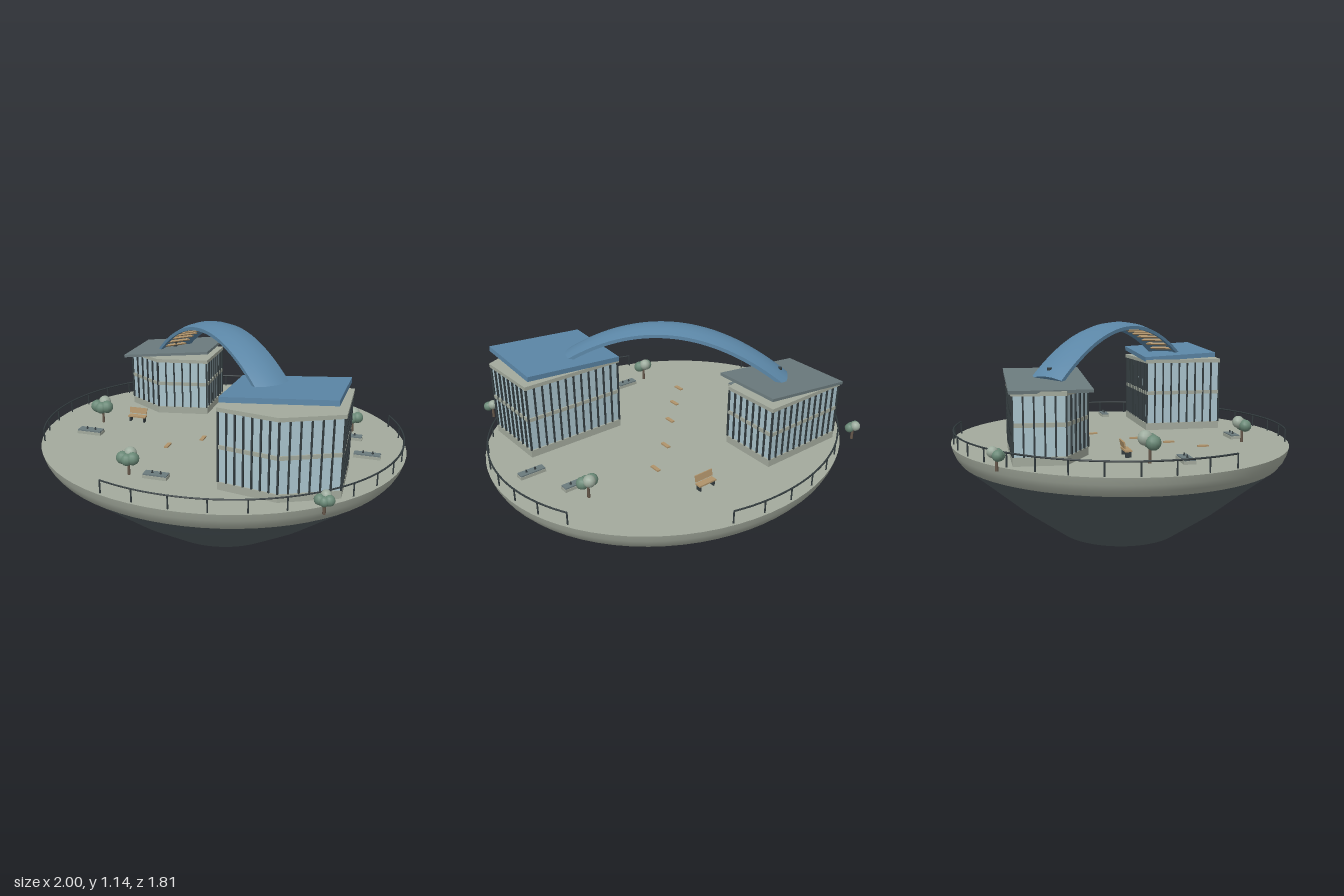
import * as THREE from 'three';
import { toCreasedNormals } from 'three/addons/utils/BufferGeometryUtils.js';

const mat = (name, color, side = THREE.FrontSide) => {
  const m = new THREE.MeshStandardMaterial({ color, side });
  m.name = name;
  return m;
};
const M = {
  stone: mat('pale stone', 0xa3aa9d, THREE.DoubleSide),
  hull: mat('dark hull', 0x535e62, THREE.DoubleSide),
  glass: mat('pale glass', 0xa9c3cc),
  blue: mat('blue metal', 0x5b86a6),
  slate: mat('slate grey', 0x6b7a7d),
  dark: mat('dark frame', 0x333c3f),
  wood: mat('wood', 0xb0936a),
  bark: mat('bark', 0x65574a),
  leaf: mat('leaf green', 0x698876),
  paleLeaf: mat('pale leaf', 0x9cab9d),
};

const DECK = 0.51, OVAL = 0.905;

function add(parent, name, geometry, material, x = 0, y = 0, z = 0) {
  const mesh = new THREE.Mesh(geometry, material);
  mesh.name = name;
  mesh.position.set(x, y, z);
  parent.add(mesh);
  return mesh;
}
const box = (w, h, d) => new THREE.BoxGeometry(w, h, d);
function group(parent, name, x = 0, y = 0, z = 0) {
  const g = new THREE.Group();
  g.name = name;
  g.position.set(x, y, z);
  parent.add(g);
  return g;
}

// Upright prism over a floor plan of [x, z] corners, grown about its centre
function prism(plan, y0, y1, grow = 1) {
  const cx = plan.reduce((s, p) => s + p[0], 0) / plan.length;
  const cz = plan.reduce((s, p) => s + p[1], 0) / plan.length;
  const pts = plan.map(([x, z]) => new THREE.Vector2(cx + (x - cx) * grow, -(cz + (z - cz) * grow)));
  const g = new THREE.ExtrudeGeometry(new THREE.Shape(pts), { depth: y1 - y0, bevelEnabled: false });
  return g.rotateX(-Math.PI / 2).translate(0, y0, 0);
}

// Glass pavilion with plinth, belt, cap and window bars
function pavilion(parent, name, plan, top, beltY) {
  const g = group(parent, name);
  add(g, 'plinth', prism(plan, DECK, 0.55, 1.015), M.stone);
  add(g, 'glassWalls', prism(plan, 0.55, top - 0.02, 0.985), M.glass);
  add(g, 'belt', prism(plan, beltY, beltY + 0.02, 1.015), M.stone);
  add(g, 'cap', prism(plan, top - 0.02, top, 1.025), M.stone);
  const h = top - 0.57;
  plan.forEach(([ax, az], i) => {
    const [bx, bz] = plan[(i + 1) % plan.length];
    const n = Math.round(Math.hypot(bx - ax, bz - az) / 0.046);
    for (let k = 0; k < n; k++) {
      const t = k / n;
      const bar = add(g, 'windowBar', box(0.008, h, 0.01), M.dark,
        ax + (bx - ax) * t, 0.55 + h / 2, az + (bz - az) * t);
      bar.rotation.y = Math.atan2(az - bz, bx - ax);
    }
  });
  return g;
}

// Arched canopy: a crowned section swept along a parabola
const archY = s => 1.118 - 0.24 * (s / 0.62) ** 2;
const archSlope = s => -0.48 * s / 0.62 ** 2;
function archGeometry(s0, s1, steps) {
  const section = [[-0.095, 0], [-0.05, 0.016], [0, 0.022], [0.05, 0.016], [0.095, 0],
    [0.095, -0.018], [0.082, -0.018], [0.05, 0], [0, 0.006], [-0.05, 0], [-0.082, -0.018], [-0.095, -0.018]];
  const n = section.length, pos = [], idx = [];
  for (let i = 0; i <= steps; i++) {
    const s = s0 + (s1 - s0) * i / steps, a = Math.atan(archSlope(s));
    for (const [w, h] of section) pos.push(s - h * Math.sin(a), archY(s) + h * Math.cos(a), w);
  }
  for (let i = 0; i < steps; i++) for (let j = 0; j < n; j++) {
    const a = i * n + j, b = i * n + (j + 1) % n;
    idx.push(a, b, a + n, b, b + n, a + n);
  }
  // End faces
  const contour = section.map(p => new THREE.Vector2(...p));
  const last = steps * n;
  for (const [a, b, c] of THREE.ShapeUtils.triangulateShape(contour, [])) {
    idx.push(a, b, c, last + a, last + c, last + b);
  }
  const g = new THREE.BufferGeometry();
  g.setAttribute('position', new THREE.Float32BufferAttribute(pos, 3));
  g.setIndex(idx);
  return toCreasedNormals(g, 0.6);
}

function tree(parent, x, z, s) {
  const g = group(parent, 'tree', x, DECK, z);
  add(g, 'trunk', new THREE.CylinderGeometry(0.006, 0.008, 0.09 * s, 8), M.bark, 0, 0.045 * s, 0);
  const ball = r => new THREE.SphereGeometry(r * s, 12, 8);
  for (const side of [-1, 1]) {
    add(g, 'foliage', ball(0.036), M.leaf, side * 0.03 * s, 0.1 * s, 0.008 * s);
  }
  add(g, 'foliage', ball(0.034), M.leaf, 0, 0.095 * s, 0.02 * s);
  add(g, 'foliageTop', ball(0.036), M.paleLeaf, 0.004 * s, 0.118 * s, -0.022 * s);
}

function bench(parent, x, z, back) {
  const g = group(parent, 'bench', x, DECK, z);
  add(g, 'benchSeat', box(0.105, 0.008, 0.035), M.wood, 0, 0.032, 0);
  add(g, 'benchBack', box(0.105, 0.034, 0.007), M.wood, 0, 0.06, back * 0.018).rotation.x = back * 0.2;
  for (const sx of [-1, 1]) add(g, 'benchLeg', box(0.008, 0.03, 0.028), M.dark, sx * 0.042, 0.015, 0);
}

function stoneSeat(parent, x, z, w, d) {
  const g = group(parent, 'stoneSeat', x, DECK, z);
  add(g, 'seatBase', box(w, 0.016, d), M.stone, 0, 0.008, 0);
  add(g, 'seatTop', box(w * 0.97, 0.007, d * 0.9), M.slate, 0, 0.019, 0);
  for (const sx of [-0.15, 0.2]) {
    add(g, 'stud', new THREE.CylinderGeometry(0.003, 0.006, 0.014, 8), M.dark, sx * w, 0.029, 0);
  }
}

// Railing over part of the oval, angles in degrees from +x towards +z
function railing(parent, from, to) {
  const g = group(parent, 'railing');
  const at = (deg, y) => {
    const a = deg * Math.PI / 180;
    return new THREE.Vector3(0.983 * Math.cos(a), y, 0.983 * OVAL * Math.sin(a));
  };
  const posts = 14, pts = [];
  for (let i = 0; i <= 32; i++) pts.push(at(from + (to - from) * i / 32, 0.577));
  add(g, 'handrail', new THREE.TubeGeometry(new THREE.CatmullRomCurve3(pts), 64, 0.0045, 6), M.dark);
  for (let i = 0; i < posts; i++) {
    const p = at(from + (to - from) * i / (posts - 1), DECK + 0.033);
    add(g, 'railPost', new THREE.CylinderGeometry(0.004, 0.004, 0.07, 6), M.dark, p.x, p.y, p.z);
  }
}

export function createModel() {
  const root = new THREE.Group();
  root.name = 'skyPlaza';

  // Oval bowl, open at the bottom, with rim and deck
  const lathe = pts => new THREE.LatheGeometry(pts.map(p => new THREE.Vector2(...p)), 72).scale(1, 1, OVAL);
  add(root, 'bowl', lathe([[0.37, 0], [0.615, 0.16], [0.81, 0.31], [0.95, 0.415]]), M.hull);
  add(root, 'rim', lathe([[0.95, 0.415], [0.975, 0.445], [0.99, 0.475], [1, 0.51]]), M.stone);
  add(root, 'deck', new THREE.CircleGeometry(1, 72).rotateX(-Math.PI / 2).scale(1, 1, OVAL), M.stone, 0, DECK, 0);
  railing(root, -27, 110);
  railing(root, 156.5, 286.3);

  // Two pavilions with tilted roofs
  const back = pavilion(root, 'backPavilion',
    [[-0.185, -0.615], [-0.185, -0.3], [-0.47, -0.245], [-0.685, -0.375], [-0.67, -0.615]], 0.845, 0.685);
  add(back, 'tiltedRoof', box(0.525, 0.015, 0.38), M.slate, -0.423, 0.873, -0.44).rotation.z = 0.115;
  const front = pavilion(root, 'frontPavilion',
    [[0.175, 0.205], [0.725, 0.205], [0.738, 0.565], [0.47, 0.69], [0.175, 0.64]], 0.92, 0.717);
  const roof = add(front, 'tiltedRoof', box(0.545, 0.026, 0.42), M.blue, 0.4425, 0.953, 0.4025);
  roof.rotation.set(-0.055, 0, 0.07);

  // Arched canopy joining the pavilions, with slats and struts below
  const arch = group(root, 'archedCanopy');
  arch.rotation.y = -Math.PI / 4;
  add(arch, 'archShell', archGeometry(-0.625, 0.58, 36), M.blue);
  for (let i = 0; i < 23; i++) {
    const s = -0.59 + i * 0.05;
    add(arch, 'slat', box(0.018, 0.01, 0.165), M.wood, s, archY(s) - 0.007, 0).rotation.z = Math.atan(archSlope(s));
  }
  add(root, 'backStrut', new THREE.CylinderGeometry(0.012, 0.012, 0.09, 10), M.dark, -0.42, 0.885, -0.42);
  add(root, 'frontStrut', new THREE.CylinderGeometry(0.012, 0.012, 0.05, 10), M.dark, 0.36, 0.93, 0.36);

  // Plaza furniture
  bench(root, -0.535, -0.07, -1);
  bench(root, 0.19, -0.56, 1);
  for (const [x, z, w, d] of [[0.685, -0.162, 0.14, 0.045], [0.805, 0.065, 0.14, 0.045],
    [-0.715, 0.172, 0.14, 0.058], [-0.15, 0.605, 0.125, 0.052]]) stoneSeat(root, x, z, w, d);
  for (const [x, z] of [[0.285, -0.28], [0.105, -0.13], [-0.085, 0.075], [-0.235, 0.225], [-0.38, 0.365]]) {
    add(root, 'deckInlay', box(0.02, 0.008, 0.058), M.wood, x, DECK + 0.004, z);
  }
  for (const [x, z, s] of [[-0.72, 0, 1], [-0.29, 0.61, 0.9], [0.685, -0.28, 0.87],
    [0.69, 0.735, 0.72], [-0.745, -0.69, 0.72]]) tree(root, x, z, s);

  return root;
}
